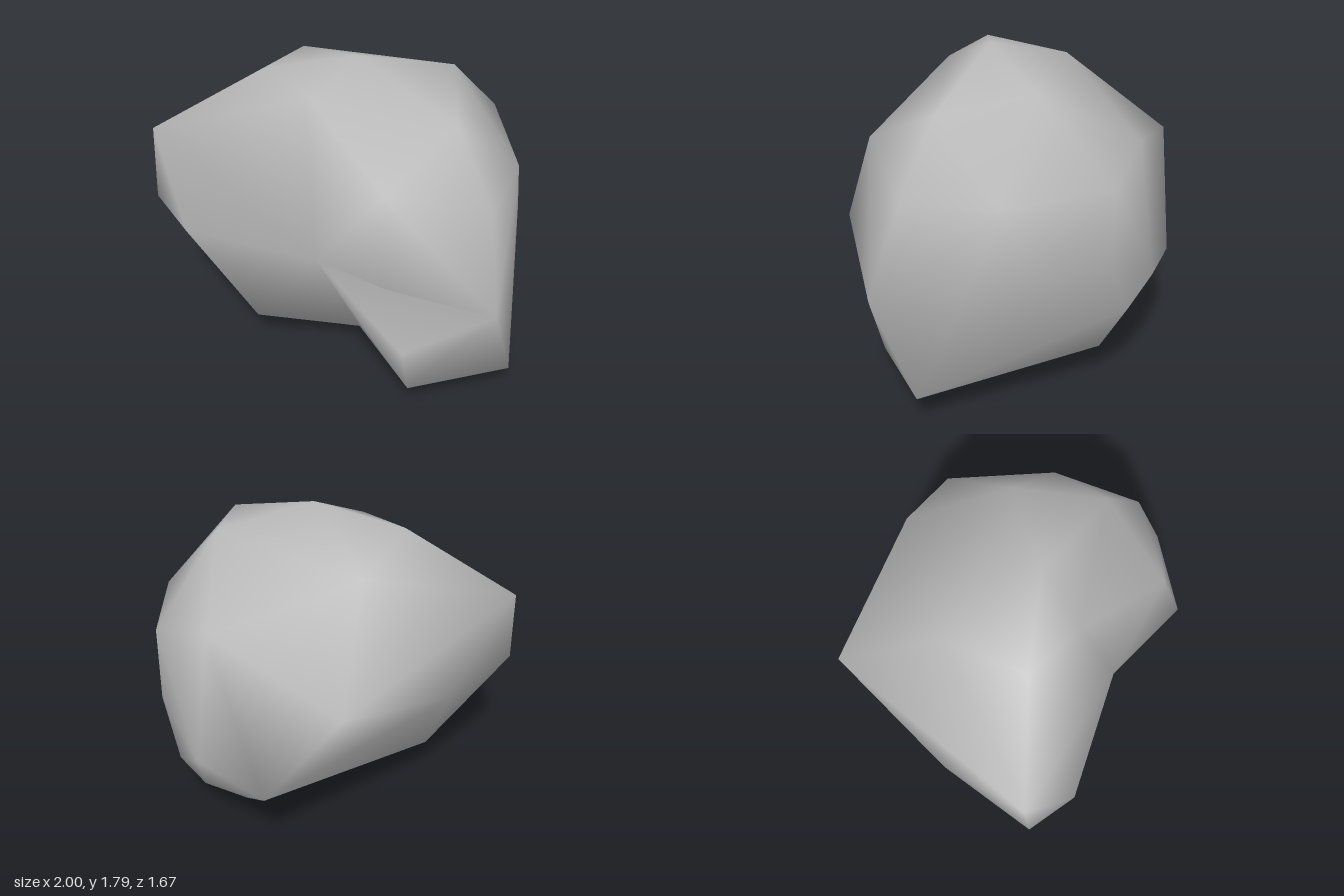
import * as THREE from 'three';
import { ConvexGeometry } from 'three/addons/geometries/ConvexGeometry.js';
import { mergeVertices } from 'three/addons/utils/BufferGeometryUtils.js';

const V = (x, y, z) => new THREE.Vector3(x, y, z);

// corners of the boulder, from the crown down to the base
const corners = [
  V(0.05, 1.79, 0.14), V(0.46, 1.67, -0.18), V(-0.43, 1.69, 0.26), V(-0.12, 1.65, 0.41),
  V(-0.41, 1.62, -0.2), V(0.63, 1.58, 0.29), V(0.23, 1.37, -0.69), V(0.4, 1.35, 0.71),
  V(-1, 1.33, 0.47), V(0.59, 1.25, -0.61), V(0.87, 1.2, -0.08), V(0.87, 1.2, 0.42),
  V(-0.57, 1.15, -0.76), V(-1, 0.92, 0.5), V(0.46, 0.92, 0.83), V(-0.86, 0.94, -0.04),
  V(-0.74, 0.85, 0.66), V(0.85, 0.83, -0.26), V(0.59, 0.82, -0.61), V(0.96, 0.69, 0.57),
  V(0.26, 0.62, -0.79), V(-0.17, 0.56, -0.84), V(0.45, 0.5, -0.68), V(0.52, 0.45, 0.74),
  V(-0.61, 0.3, 0.31), V(-0.44, 0.22, 0.47), V(0.4, 0.22, -0.53), V(0.13, 0.21, -0.52),
  V(1, 0.17, 0.33), V(0.53, 0.14, 0.65), V(0.12, 0.02, -0.02), V(0.41, 0.02, 0.4),
  V(0.44, 0, 0),
];

// hollow points: raised to join the hull, then pressed back in
const hollows = [
  { point: V(0, 0.83, 0.62), raised: V(0, 0.78, 1.05) }, // front valley
  { point: V(0.09, 0.11, 0.23), raised: V(0, 0.08, 0.52) }, // foot of the valley
  { point: V(-0.04, 0.1, -0.01), raised: V(-0.05, 0.06, -0.01) }, // underside step
];

function boulderGeometry() {
  const hull = new ConvexGeometry([...corners, ...hollows.map((h) => h.raised)]);
  const pos = hull.attributes.position;
  const p = new THREE.Vector3();
  for (let i = 0; i < pos.count; i++) {
    p.fromBufferAttribute(pos, i);
    const hollow = hollows.find((h) => h.raised.distanceTo(p) < 1e-4);
    if (hollow) pos.setXYZ(i, hollow.point.x, hollow.point.y, hollow.point.z);
  }
  // share corners so the shading is smooth
  hull.deleteAttribute('normal');
  const smooth = mergeVertices(hull, 1e-4);
  smooth.computeVertexNormals();
  return smooth;
}

export function createModel() {
  const stone = new THREE.MeshStandardMaterial({ color: 0xbbbbbb });
  stone.name = 'stone grey';
  const boulder = new THREE.Mesh(boulderGeometry(), stone);
  boulder.name = 'boulder';
  const group = new THREE.Group();
  group.name = 'rock';
  group.add(boulder);
  return group;
}
